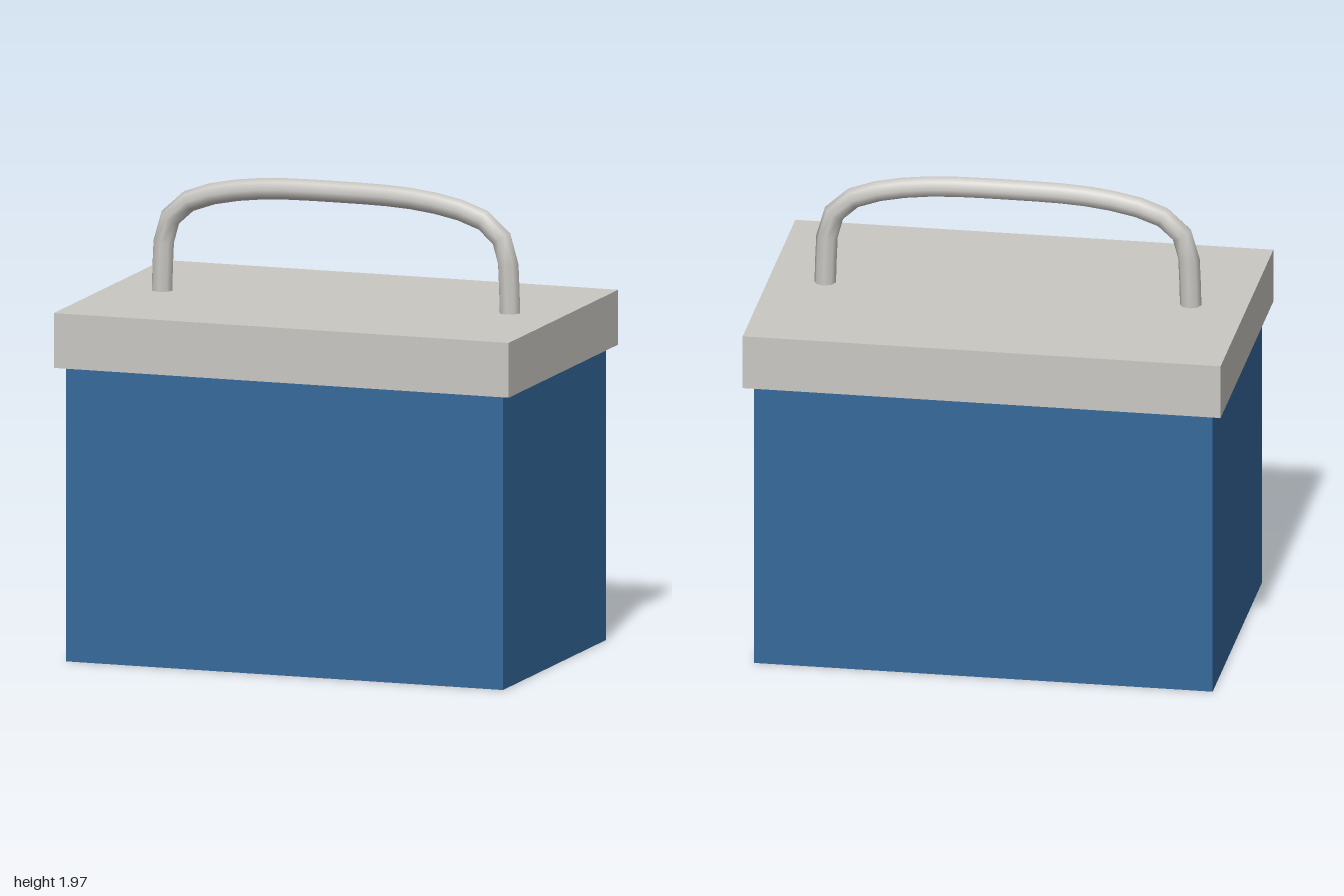
import * as THREE from 'three';

export function createModel() {
  const model = new THREE.Group();
  const blue = new THREE.MeshStandardMaterial({ color: 0x346899 });
  blue.name = 'blue';
  const paleGrey = new THREE.MeshStandardMaterial({ color: 0xc9c7c2 });
  paleGrey.name = 'pale grey';

  const add = (name, geometry, material, y = 0) => {
    const mesh = new THREE.Mesh(geometry, material);
    mesh.name = name;
    mesh.position.y = y;
    model.add(mesh);
  };

  // Box body and overhanging lid
  const bodyHeight = 1.235, lidHeight = 0.23;
  add('body', new THREE.BoxGeometry(1.92, bodyHeight, 1.23), blue, bodyHeight / 2);
  add('lid', new THREE.BoxGeometry(2, lidHeight, 1.31), paleGrey, bodyHeight + lidHeight / 2);

  // Arched carrying handle, mirrored about x = 0
  const half = [[0.765, 1.45], [0.76, 1.6], [0.745, 1.74], [0.68, 1.825], [0.57, 1.875], [0.35, 1.915]];
  const points = [
    ...half.map(([x, y]) => new THREE.Vector3(-x, y, 0)),
    new THREE.Vector3(0, 1.925, 0),
    ...half.map(([x, y]) => new THREE.Vector3(x, y, 0)).reverse(),
  ];
  const path = new THREE.CatmullRomCurve3(points);
  add('handle', new THREE.TubeGeometry(path, 20, 0.045, 8), paleGrey);

  return model;
}
